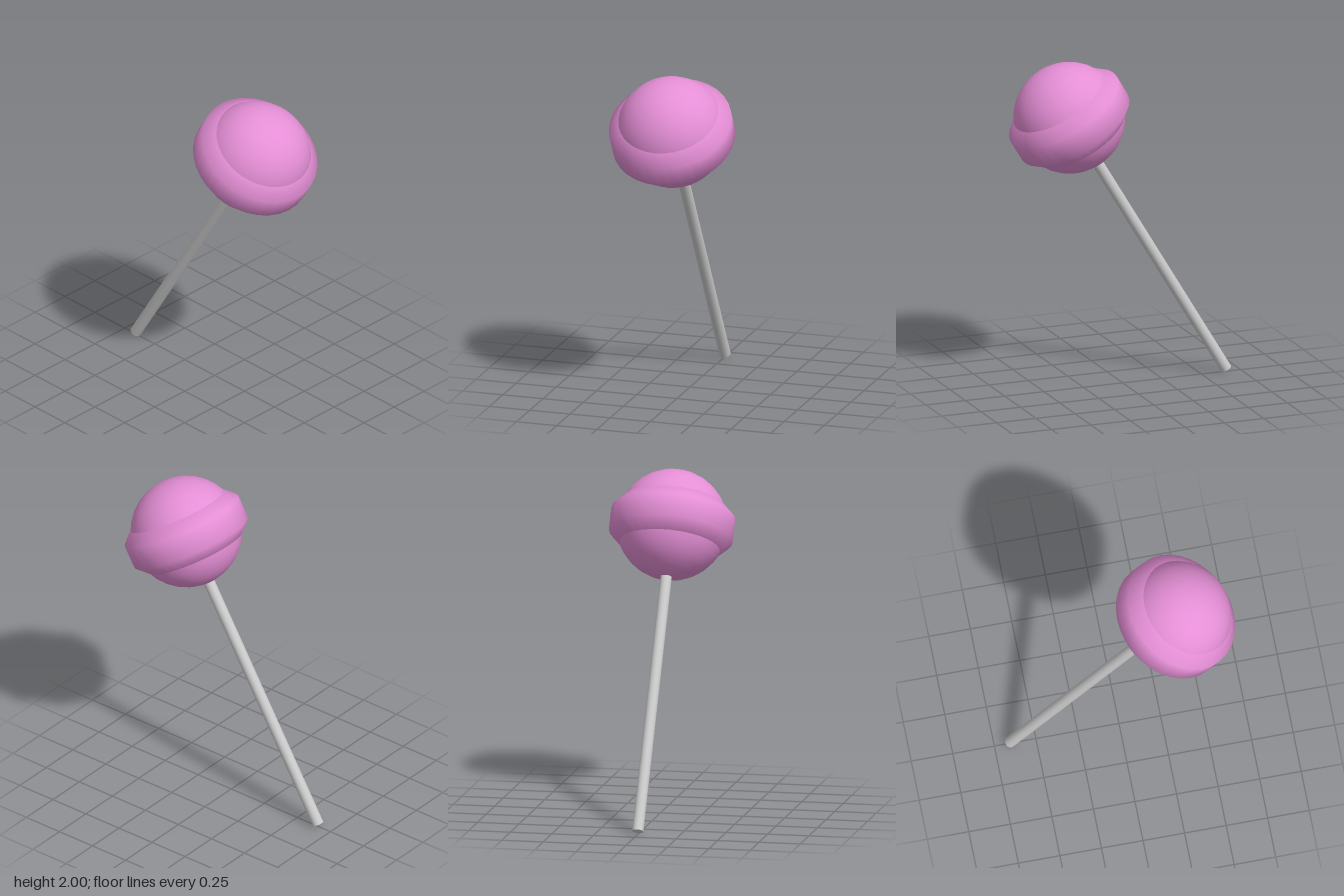
import * as THREE from 'three';

export function createModel() {
  const model = new THREE.Group();
  model.name = 'lollipop';
  const candy = new THREE.MeshStandardMaterial({ color: 0xe58fd6 });
  const grey = new THREE.MeshStandardMaterial({ color: 0xcccccc });

  // Everything is built upright around the candy centre, then leaned forward
  const leaning = new THREE.Group();
  leaning.name = 'leaningLollipop';
  leaning.position.set(0, 1.67, 0.34);
  leaning.rotation.x = 0.543;
  model.add(leaning);

  const add = (name, geometry, material, y = 0) => {
    const mesh = new THREE.Mesh(geometry, material);
    mesh.name = name;
    mesh.position.y = y;
    leaning.add(mesh);
  };

  // Candy ball
  add('candyBall', new THREE.SphereGeometry(0.331, 32, 16), candy);

  // Raised band: octagonal ring section, its inner sides buried in the ball
  const profile = [[0.13, -0.169], [0.268, -0.169], [0.368, -0.07],
    [0.368, 0.07], [0.268, 0.169], [0.13, 0.169]];
  const points = profile.map(([r, y]) => new THREE.Vector2(r, y));
  add('candyBand', new THREE.LatheGeometry(points, 32), candy);

  // Stick, running from inside the ball down to the ground
  const length = 1.93;
  add('stick', new THREE.CylinderGeometry(0.034, 0.034, length, 16), grey, -length / 2);

  return model;
}
